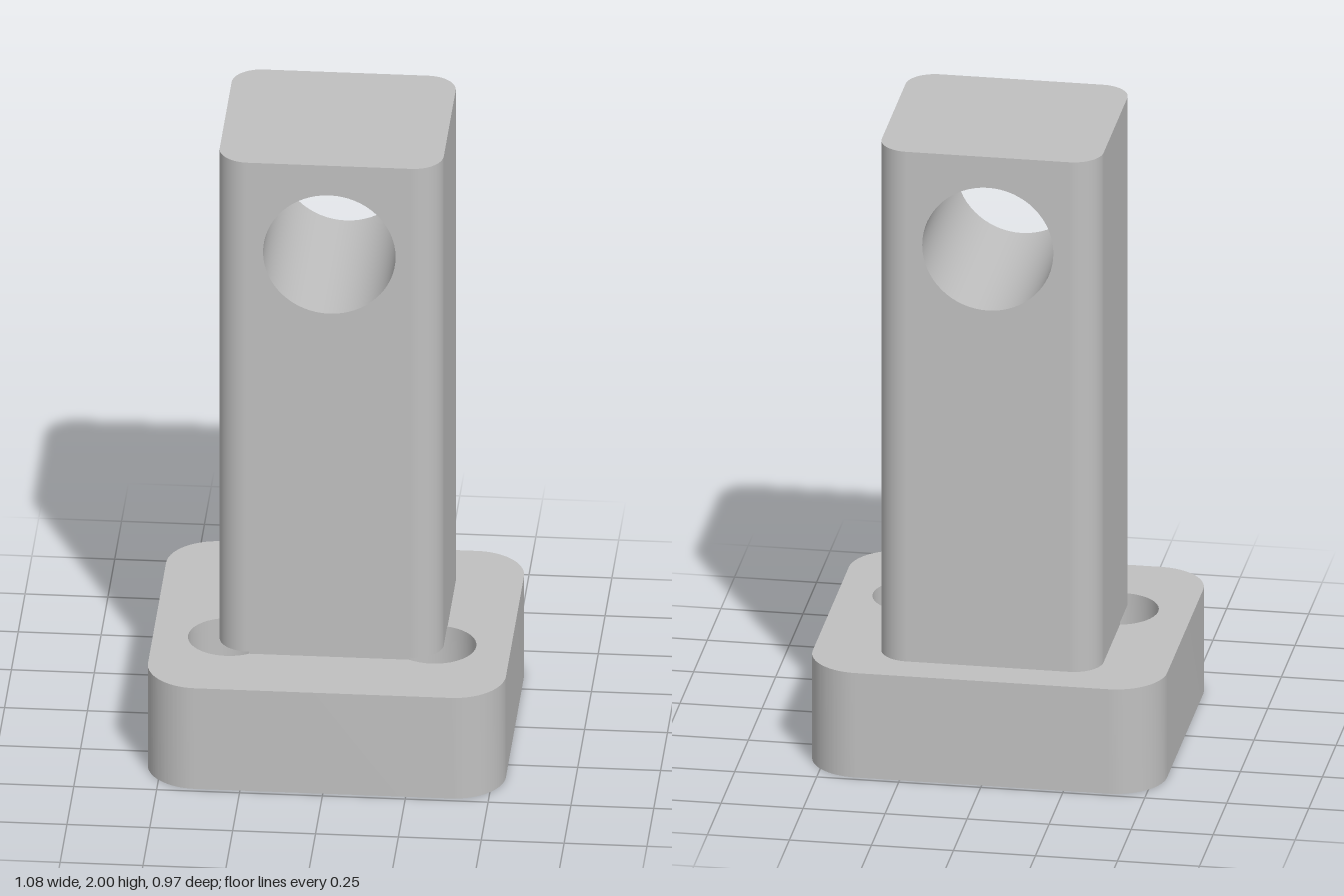
import * as THREE from 'three';
import { mergeGeometries, toCreasedNormals } from 'three/addons/utils/BufferGeometryUtils.js';

const PI = Math.PI;
const BASE = { w: 0.54, d: 0.485, r: 0.155, h: 0.34 };
const POST = { w: 0.338, front: 0.245, back: -0.37, r: 0.09, bottom: 0.347, top: 2 };
const BOLT = { x: 0.31, z: 0.14, r: 0.125 };
const BORE = { y: 1.7, r: 0.2 };

// rounded rectangle with half sizes w, d
function roundedRect(w, d, r) {
  const s = new THREE.Shape();
  s.absarc(w - r, d - r, r, 0, PI / 2);
  s.absarc(r - w, d - r, r, PI / 2, PI);
  s.absarc(r - w, r - d, r, PI, 1.5 * PI);
  s.absarc(w - r, r - d, r, 1.5 * PI, 2 * PI);
  s.closePath();
  return s;
}

// upright prism from a plan shape drawn in (x, -z)
function prism(shape, y0, y1) {
  const g = new THREE.ExtrudeGeometry(shape, { depth: y1 - y0, bevelEnabled: false, curveSegments: 20 });
  g.rotateX(-PI / 2).translate(0, y0, 0);
  return toCreasedNormals(g, 0.5);
}

// base plate with two through holes
function baseGeometry() {
  const s = roundedRect(BASE.w, BASE.d, BASE.r);
  for (const side of [-1, 1]) {
    s.holes.push(new THREE.Path().absarc(side * BOLT.x, -BOLT.z, BOLT.r, 0, 2 * PI));
  }
  return prism(s, 0, BASE.h);
}

// thin foot of the post, bitten at the front corners by the bolt holes
function footGeometry() {
  const { w, front, back, r } = POST;
  const dz = Math.sqrt(BOLT.r ** 2 - (w - BOLT.x) ** 2);
  const dx = Math.sqrt(BOLT.r ** 2 - (front - BOLT.z) ** 2);
  const a = Math.atan2(dz, w - BOLT.x);
  const b = Math.atan2(BOLT.z - front, -dx);
  const s = new THREE.Shape();
  s.absarc(w - r, -back - r, r, 0, PI / 2);
  s.absarc(r - w, -back - r, r, PI / 2, PI);
  s.absarc(-BOLT.x, -BOLT.z, BOLT.r, PI - a, -PI - b, true);
  s.absarc(BOLT.x, -BOLT.z, BOLT.r, b, a, true);
  s.closePath();
  return prism(s, BASE.h, POST.bottom);
}

// post skin: pierced panels, sides, rounded corners, bore and end caps
function postGeometry() {
  const { w, front, back, r, bottom, top } = POST;
  const h = top - bottom, midY = (top + bottom) / 2;
  const depth = front - back, midZ = (front + back) / 2;
  const parts = [];

  const panel = new THREE.Shape();
  panel.moveTo(r - w, bottom).lineTo(w - r, bottom).lineTo(w - r, top).lineTo(r - w, top).closePath();
  panel.holes.push(new THREE.Path().absarc(0, BORE.y, BORE.r, 0, 2 * PI));
  parts.push(new THREE.ShapeGeometry(panel, 32).translate(0, 0, front));
  parts.push(new THREE.ShapeGeometry(panel, 32).rotateY(PI).translate(0, 0, back));

  for (const side of [-1, 1]) {
    parts.push(new THREE.PlaneGeometry(depth - 2 * r, h).rotateY(side * PI / 2).translate(side * w, midY, midZ));
  }

  const corners = [[1, 1], [1, -1], [-1, -1], [-1, 1]];
  corners.forEach(([sx, sz], i) => {
    parts.push(new THREE.CylinderGeometry(r, r, h, 20, 1, true, i * PI / 2, PI / 2)
      .translate(sx * (w - r), midY, midZ + sz * (depth / 2 - r)));
  });

  // profile runs downward so the bore wall faces inward
  const profile = [new THREE.Vector2(BORE.r, depth / 2), new THREE.Vector2(BORE.r, -depth / 2)];
  parts.push(new THREE.LatheGeometry(profile, 64).rotateX(PI / 2).translate(0, BORE.y, midZ));

  const cap = roundedRect(w, depth / 2, r);
  parts.push(new THREE.ShapeGeometry(cap, 20).rotateX(-PI / 2).translate(0, top, midZ));
  parts.push(new THREE.ShapeGeometry(cap, 20).rotateX(PI / 2).translate(0, bottom, midZ));
  return mergeGeometries(parts);
}

export function createModel() {
  const grey = new THREE.MeshStandardMaterial({ color: 0xc0c0c0 });
  grey.name = 'plain grey';
  const model = new THREE.Group();
  model.name = 'piercedPostOnBase';
  const add = (name, geometry) => {
    const mesh = new THREE.Mesh(geometry, grey);
    mesh.name = name;
    model.add(mesh);
  };
  add('basePlate', baseGeometry());
  add('postFoot', footGeometry());
  add('post', postGeometry());
  return model;
}
